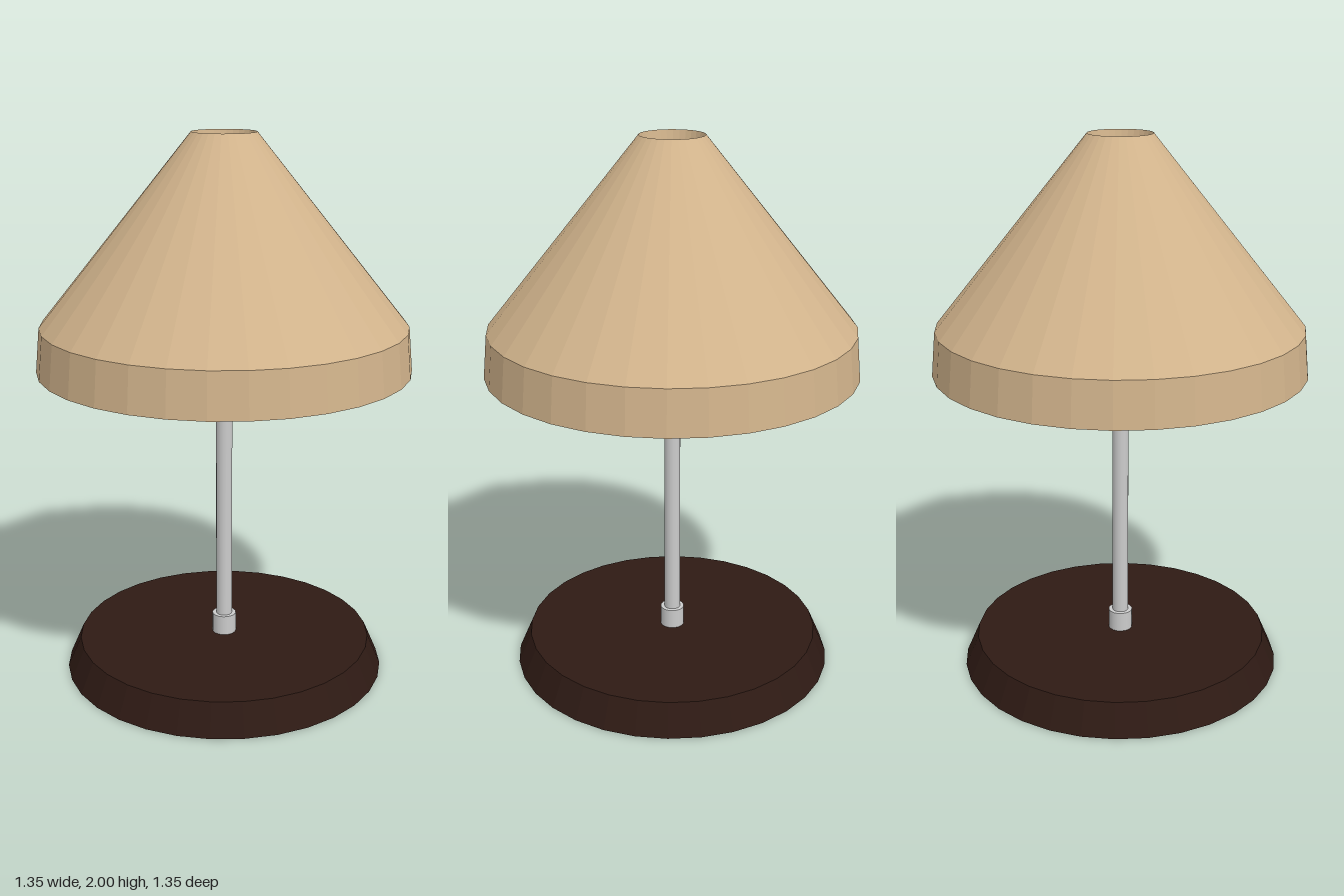
import * as THREE from 'three';

const SIDES = 32;
const tan = new THREE.MeshStandardMaterial({ color: 0xd2b48c, flatShading: true, side: THREE.DoubleSide });
const darkWood = new THREE.MeshStandardMaterial({ color: 0x2e1a14, flatShading: true });
const metal = new THREE.MeshStandardMaterial({ color: 0xcccccc });

// Turns a [radius, height] profile around the y axis.
function turned(name, profile, material, sides = SIDES) {
  const points = profile.map(([r, y]) => new THREE.Vector2(r, y));
  const mesh = new THREE.Mesh(new THREE.LatheGeometry(points, sides), material);
  mesh.name = name;
  return mesh;
}

// Upright closed cylinder between two heights.
function rod(name, radius, bottom, top, sides) {
  const mesh = new THREE.Mesh(new THREE.CylinderGeometry(radius, radius, top - bottom, sides), metal);
  mesh.position.y = (bottom + top) / 2;
  mesh.name = name;
  return mesh;
}

export function createModel() {
  const lamp = new THREE.Group();
  lamp.name = 'tableLamp';

  // Bevelled base with a pale pad underneath
  lamp.add(turned('base', [[0.6, 0], [0.55, 0.115], [0, 0.115]], darkWood));
  const pad = new THREE.Mesh(new THREE.CircleGeometry(0.6, SIDES), tan);
  pad.rotation.x = Math.PI / 2;
  pad.name = 'basePad';
  lamp.add(pad);

  // Stem and the collar that holds it
  lamp.add(rod('collar', 0.045, 0.115, 0.19, 16));
  lamp.add(rod('stem', 0.03, 0.115, 1.52, 16));

  // Open thin shade: short skirt, then a cone up to the top opening
  lamp.add(turned('shade', [[0.675, 1.165], [0.66, 1.325], [0.115, 2]], tan));

  // Funnel inside the top opening, closed where it meets the stem
  lamp.add(turned('shadeFunnel', [[0, 1.522], [0.032, 1.522], [0.115, 2]], tan));

  return lamp;
}
